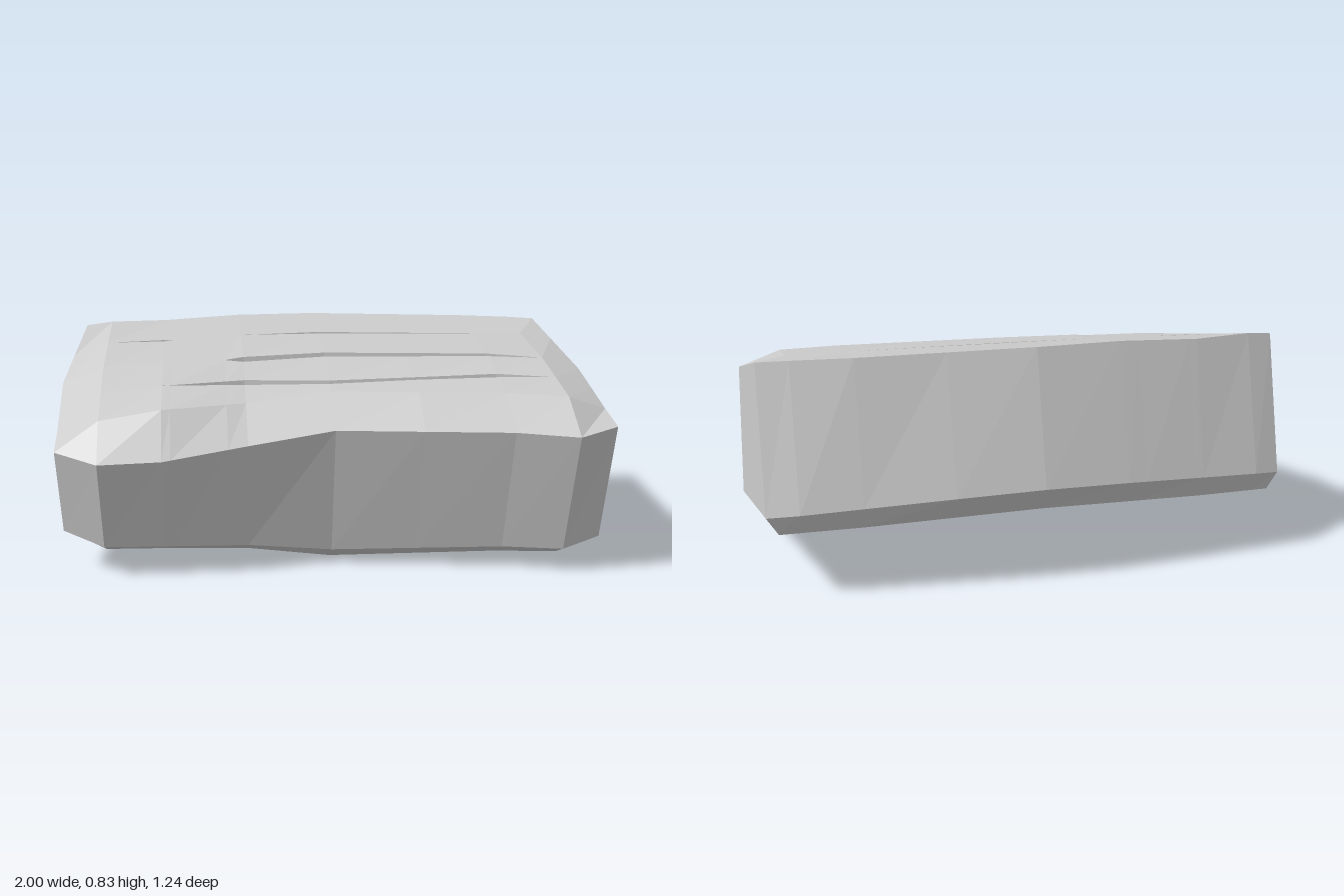
import * as THREE from 'three';

// Stations along the width; the first and last are the slab's two ends.
const X = [-1, -0.83, -0.61, -0.58, -0.38, -0.31, 0, 0.31, 0.62, 0.83, 1];
const LAST = X.length - 1;

// Linear interpolation through points [x, ...values].
function sample(pts, x) {
  if (x <= pts[0][0]) return pts[0].slice();
  for (let i = 1; i < pts.length; i++) {
    const a = pts[i - 1], b = pts[i];
    if (x <= b[0]) return a.map((v, k) => v + (b[k] - v) * (x - a[0]) / (b[0] - a[0]));
  }
  return pts[pts.length - 1].slice();
}

const at = (pts, i) => sample(pts, i === 0 ? -2 : i === LAST ? 2 : X[i]);
const row = (pts) => X.map((_, i) => at(pts, i));

// Lengthwise edges as [x, y, z], from the front lip over the top and round underneath.
const frontTop = row([[-0.985, 0.48, 0.38], [-0.83, 0.46, 0.49], [-0.61, 0.465, 0.49], [-0.31, 0.5, 0.44],
  [0, 0.545, 0.43], [0.62, 0.55, 0.545], [0.83, 0.545, 0.615], [0.98, 0.565, 0.555]]);
const topBevel = row([[-0.985, 0.53, 0.26], [-0.83, 0.585, 0.36], [-0.61, 0.62, 0.365], [-0.31, 0.625, 0.31],
  [0, 0.66, 0.305], [0.62, 0.66, 0.4], [0.83, 0.655, 0.46], [0.98, 0.6, 0.42]]);
const ridge = row([[-0.99, 0.65, 0], [-0.83, 0.72, 0.07], [-0.61, 0.735, 0.07], [-0.31, 0.74, 0.07],
  [0, 0.75, 0.055], [0.62, 0.745, 0.1], [0.83, 0.735, 0.128], [0.985, 0.685, 0.1]]);
const backTop = row([[-0.93, 0.81, -0.39], [-0.83, 0.82, -0.41], [-0.61, 0.818, -0.445], [-0.31, 0.832, -0.47],
  [0, 0.832, -0.49], [0.62, 0.82, -0.445], [0.83, 0.815, -0.41], [0.94, 0.81, -0.385]]);
const backBottom = row([[-0.93, 0.31, -0.52], [-0.83, 0.32, -0.545], [-0.31, 0.35, -0.6], [0, 0.36, -0.62],
  [0.31, 0.35, -0.605], [0.83, 0.32, -0.55], [0.94, 0.31, -0.52]]);
const floorBack = row([[-0.9, 0.24, -0.5], [-0.61, 0.25, -0.53], [0, 0.27, -0.56], [0.61, 0.25, -0.53], [0.9, 0.24, -0.5]]);
const floorMid = row([[-0.94, 0.13, 0.02], [-0.61, 0.1, 0.03], [0, 0.08, 0], [0.61, 0.09, 0.06], [0.94, 0.122, 0.08]]);
const floorFront = row([[-0.93, 0.1, 0.2], [-0.83, 0.08, 0.28], [-0.61, 0.075, 0.28], [-0.31, 0.045, 0.23],
  [0, 0, 0.22], [0.62, 0.035, 0.33], [0.83, 0.05, 0.4], [0.94, 0.07, 0.37]]);
const frontBottom = row([[-0.985, 0.15, 0.26], [-0.83, 0.12, 0.37], [-0.61, 0.115, 0.37], [-0.31, 0.09, 0.32],
  [0, 0.055, 0.305], [0.62, 0.085, 0.42], [0.83, 0.093, 0.49], [0.98, 0.12, 0.44]]);

// A crack is three edges: front lip, sunken bottom, back lip; they meet where its width is zero.
function crack(front, back, path, widths) {
  const lips = [[], [], []];
  X.forEach((_, i) => {
    const z = at(path, i)[1], w = at(widths, i)[1];
    [0.5, -0.3, -0.5].forEach((side, k) => {
      const f = front[i], b = back[i];
      const t = (z + side * w - f[2]) / (b[2] - f[2]);
      const p = f.map((v, n) => v + (b[n] - v) * t);
      if (k === 1 && w > 1e-5) p[1] -= 0.06;
      lips[k].push(p);
    });
  });
  return lips;
}

const frontCrack = crack(topBevel, ridge,
  [[-0.99, 0.13], [-0.83, 0.22], [-0.61, 0.22], [-0.31, 0.2], [0, 0.245], [0.62, 0.267], [0.83, 0.3], [0.98, 0.26]],
  [[-0.61, 0], [-0.31, 0.026], [0, 0.022], [0.31, 0.018], [0.62, 0.026], [0.83, 0]]);
const middleCrack = crack(topBevel, ridge, ridge.map((p) => [p[0], p[2]]),
  [[-0.38, 0], [-0.31, 0.028], [0, 0.028], [0.62, 0.022], [0.83, 0]]);
const backCrack = crack(ridge, backTop,
  [[-0.97, -0.175], [-0.61, -0.178], [-0.31, -0.21], [0, -0.215], [0.62, -0.18], [0.97, -0.18]],
  [[-0.83, 0], [-0.61, 0.016], [-0.58, 0], [-0.31, 0], [0, 0.02], [0.62, 0]]);

const rows = [frontTop, topBevel, ...frontCrack, ...middleCrack, ...backCrack, backTop,
  backBottom, floorBack, floorMid, floorFront, frontBottom];

function slabGeometry() {
  const out = [];
  const [a, b, c] = [0, 1, 2].map(() => new THREE.Vector3());
  const tri = (p, q, r) => {
    a.fromArray(p); b.fromArray(q).sub(a); c.fromArray(r).sub(a);
    if (b.cross(c).length() > 1e-7) out.push(...p, ...q, ...r);
  };
  rows.forEach((cur, r) => {
    const next = rows[(r + 1) % rows.length];
    for (let i = 0; i < LAST; i++) {
      tri(cur[i], cur[i + 1], next[i + 1]);
      tri(cur[i], next[i + 1], next[i]);
    }
    // End walls and their lower bevels fan out from a point on the bevel edge.
    tri([-1, 0.21, 0.02], cur[0], next[0]);
    tri([1, 0.193, 0.1], next[LAST], cur[LAST]);
  });
  const g = new THREE.BufferGeometry();
  g.setAttribute('position', new THREE.Float32BufferAttribute(out, 3));
  g.computeVertexNormals();
  return g;
}

export function createModel() {
  const group = new THREE.Group();
  group.name = 'stoneSlab';
  const slab = new THREE.Mesh(slabGeometry(),
    new THREE.MeshStandardMaterial({ color: 0xcccccc, flatShading: true }));
  slab.name = 'crackedSlab';
  group.add(slab);
  return group;
}
